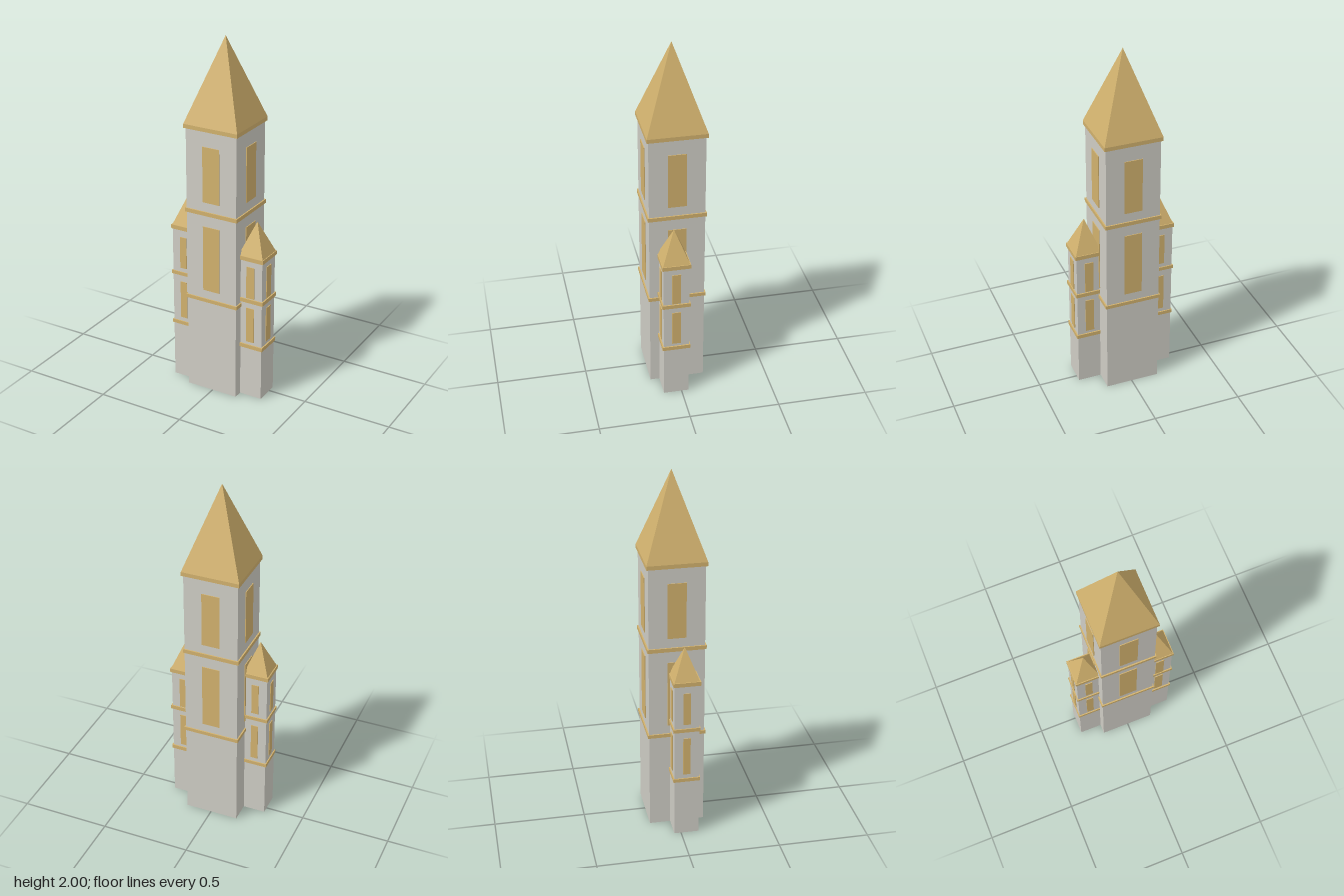
import * as THREE from 'three';

const stone = new THREE.MeshStandardMaterial({ color: 0xcfcdc5 });
stone.name = 'pale stone';
const gold = new THREE.MeshStandardMaterial({ color: 0xd2b26e });
gold.name = 'gold';

function box(parent, name, material, w, y0, y1, d = w) {
  const mesh = new THREE.Mesh(new THREE.BoxGeometry(w, y1 - y0, d), material);
  mesh.name = name;
  mesh.position.y = (y0 + y1) / 2;
  parent.add(mesh);
  return mesh;
}

// Square tower with bands, a window on each face per storey and a pyramid roof
function tower(name, t) {
  const group = new THREE.Group();
  group.name = name;
  group.position.set(t.x, 0, t.z);

  box(group, 'walls', stone, t.half * 2, 0, t.eaves[1]);
  for (const [y0, y1] of t.bands) box(group, 'band', gold, t.bandHalf * 2, y0, y1);
  box(group, 'eaves', gold, t.eavesHalf * 2, t.eaves[0], t.eaves[1]);

  // Thin raised window plates on all four sides
  for (const [y0, y1] of t.windows) {
    for (let i = 0; i < 4; i++) {
      const angle = (i * Math.PI) / 2;
      const pane = box(group, 'window', gold, t.windowWidth, y0, y1, 0.008);
      pane.position.x = Math.sin(angle) * t.half;
      pane.position.z = Math.cos(angle) * t.half;
      pane.rotation.y = angle;
    }
  }

  // Four-sided roof aligned with the walls
  const height = t.top - t.eaves[1];
  const geometry = new THREE.ConeGeometry(t.roofHalf * Math.SQRT2, height, 4).rotateY(Math.PI / 4).toNonIndexed();
  geometry.computeVertexNormals();
  const roof = new THREE.Mesh(geometry, gold);
  roof.name = 'roof';
  roof.position.y = t.eaves[1] + height / 2;
  group.add(roof);
  return group;
}

export function createModel() {
  const model = new THREE.Group();
  model.name = 'towers';
  model.add(
    tower('mainTower', {
      x: -0.004, z: 0, half: 0.151, bandHalf: 0.158, eavesHalf: 0.16, roofHalf: 0.16,
      bands: [[0.545, 0.565], [1.055, 1.077]], eaves: [1.525, 1.547], top: 2,
      windows: [[0.615, 0.99], [1.13, 1.44]], windowWidth: 0.1,
    }),
    tower('rightTower', {
      x: -0.213, z: 0.03, half: 0.067, bandHalf: 0.073, eavesHalf: 0.073, roofHalf: 0.068,
      bands: [[0.33, 0.35], [0.635, 0.655]], eaves: [0.907, 0.93], top: 1.103,
      windows: [[0.375, 0.595], [0.68, 0.865]], windowWidth: 0.04,
    }),
    tower('leftTower', {
      x: 0.207, z: 0.03, half: 0.07, bandHalf: 0.077, eavesHalf: 0.077, roofHalf: 0.073,
      bands: [[0.3, 0.322], [0.578, 0.6]], eaves: [0.825, 0.848], top: 1.03,
      windows: [[0.34, 0.545], [0.605, 0.79]], windowWidth: 0.048,
    }),
  );
  return model;
}
